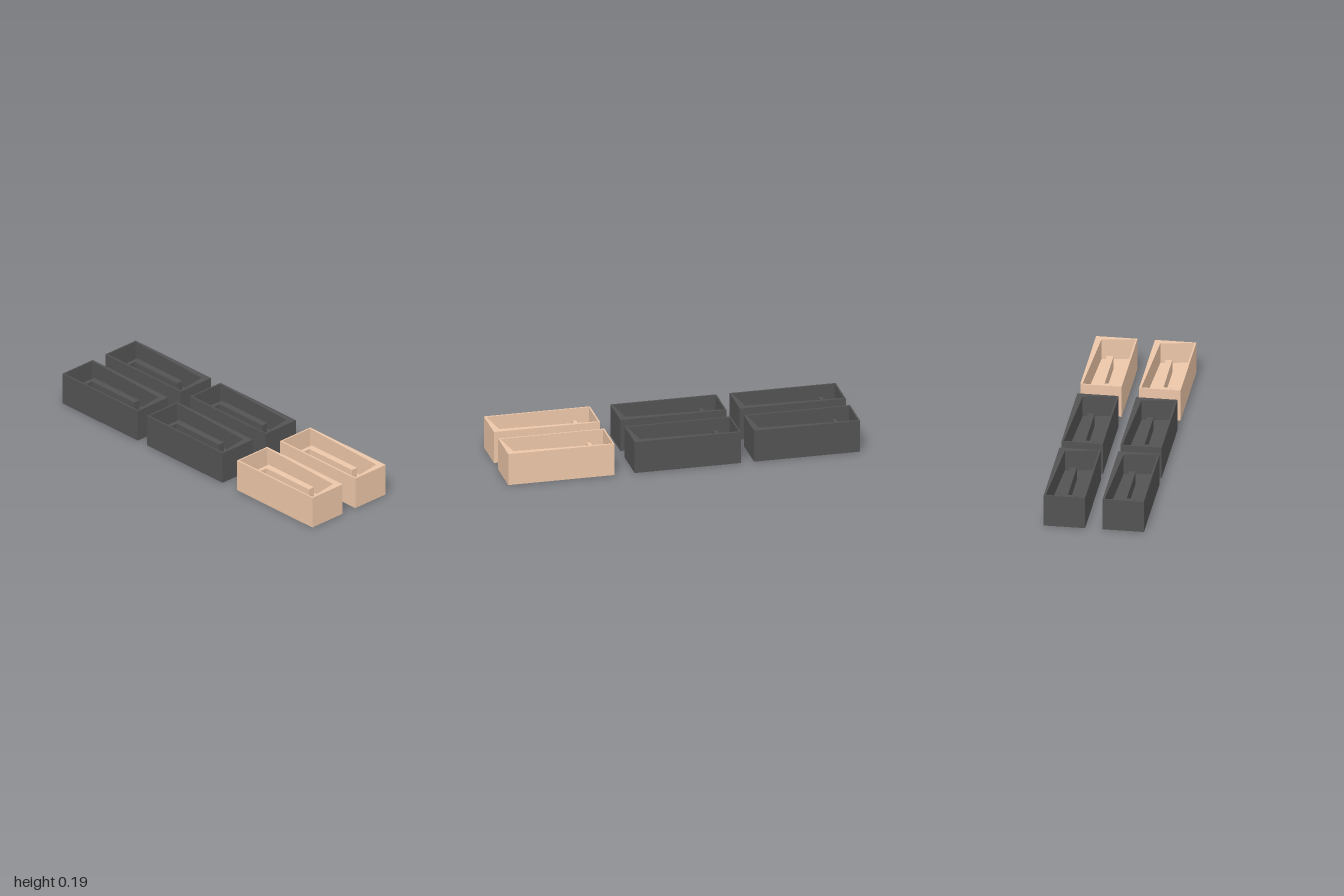
import * as THREE from 'three';

const W = 0.231, L = 0.603, H = 0.185; // tray width, length, height
const FLOOR = 0.065, BAR_TOP = 0.14;

// Extrude an [x, z] outline upwards from y0 to y1
function slab(outline, y0, y1, hole) {
  const points = (list) => list.map(([x, z]) => new THREE.Vector2(x, -z));
  const shape = new THREE.Shape(points(outline));
  if (hole) shape.holes.push(new THREE.Path(points(hole)));
  const geometry = new THREE.ExtrudeGeometry(shape, { depth: y1 - y0, bevelEnabled: false });
  return geometry.rotateX(-Math.PI / 2).translate(0, y0, 0);
}

export function createModel() {
  const model = new THREE.Group();
  model.name = 'trays';

  const tan = new THREE.MeshStandardMaterial({ color: 0xecc6a8 });
  const dark = new THREE.MeshStandardMaterial({ color: 0x535353 });

  const x = W / 2, z = L / 2;
  const outer = [[-x, z], [x, z], [x, -z], [-x, -z]];
  // Cavity with a tapering side and a slanted front end
  const cavity = [[-0.106, -0.293], [0.104, -0.293], [0.08, 0.263], [-0.106, 0.292]];
  // Hooked bar standing on the tray floor
  const hook = [[-0.045, -0.206], [0.035, -0.206], [0.035, 0.156],
    [-0.003, 0.156], [-0.003, -0.183], [-0.045, -0.183]];

  const parts = {
    base: slab(outer, 0, FLOOR),
    walls: slab(outer, FLOOR, H, cavity),
    hookedBar: slab(hook, FLOOR, BAR_TOP),
  };

  // Two columns, three rows; the front row is tan
  const rows = [[0.6985, tan, 'front'], [-0.02, dark, 'middle'], [-0.6985, dark, 'back']];
  for (const [rowZ, material, row] of rows) {
    for (const side of [-1, 1]) {
      const tray = new THREE.Group();
      tray.name = row + (side > 0 ? 'LeftTray' : 'RightTray');
      for (const [name, geometry] of Object.entries(parts)) {
        const mesh = new THREE.Mesh(geometry, material);
        mesh.name = name;
        tray.add(mesh);
      }
      tray.position.set(side * 0.164, 0, rowZ);
      model.add(tray);
    }
  }
  return model;
}
